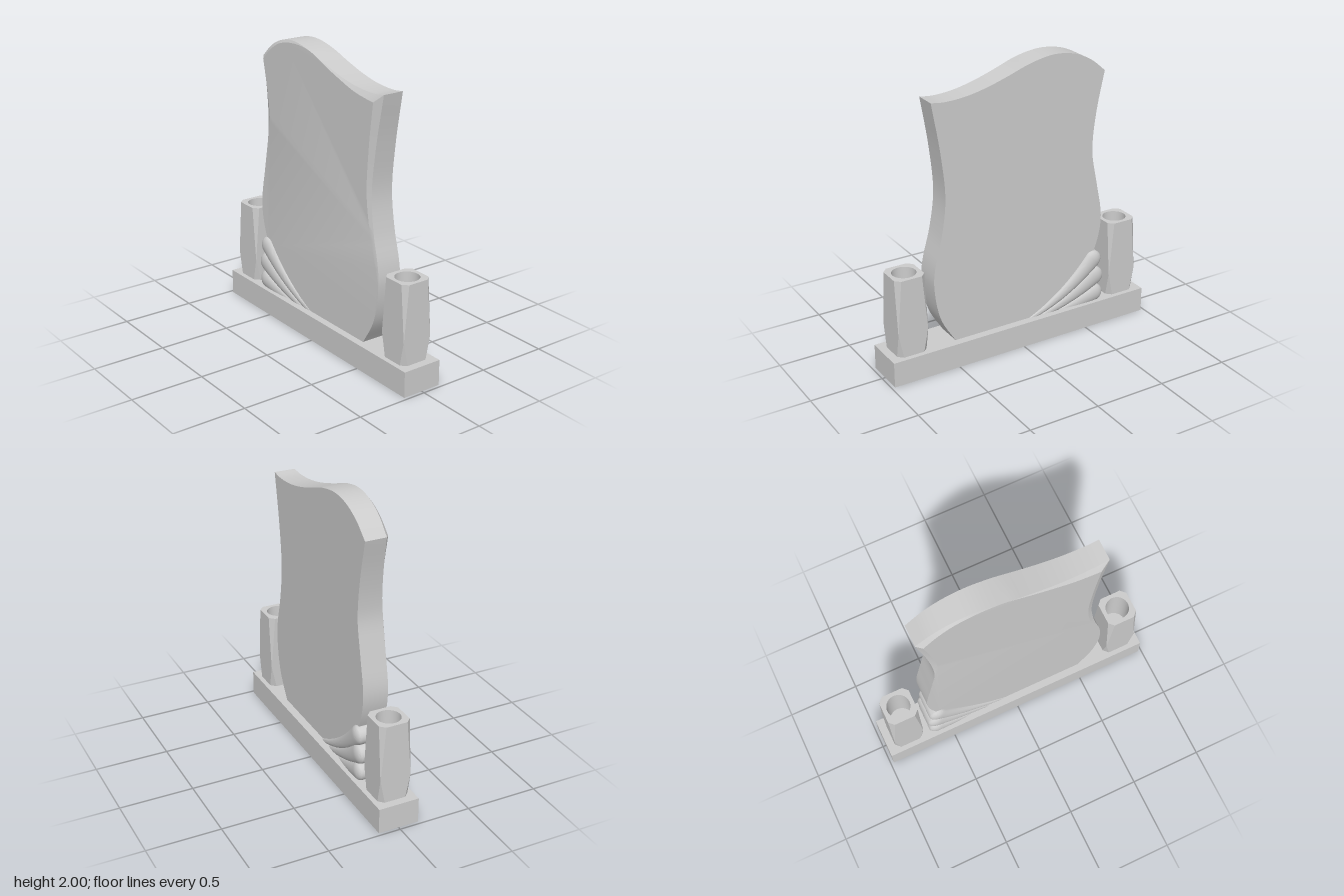
import * as THREE from 'three';
import { toCreasedNormals } from 'three/addons/utils/BufferGeometryUtils.js';

const material = new THREE.MeshStandardMaterial({ color: 0xcccccc });
const openMaterial = new THREE.MeshStandardMaterial({ color: 0xcccccc, side: THREE.DoubleSide });
const BASE_TOP = 0.175;

function addMesh(parent, name, geometry, mat = material) {
  const mesh = new THREE.Mesh(geometry, mat);
  mesh.name = name;
  parent.add(mesh);
  return mesh;
}

// Skins a list of equal-length closed rings; caps are for rings lying in an xy plane.
function loft(rings, crease, capped = false) {
  const n = rings[0].length;
  const index = [];
  for (let r = 0; r < rings.length - 1; r++) {
    for (let i = 0; i < n; i++) {
      const a = r * n + i, b = r * n + (i + 1) % n;
      index.push(a, b, b + n, a, b + n, a + n);
    }
  }
  if (capped) {
    const flat = ring => ring.map(p => new THREE.Vector2(p.x, p.y));
    const last = (rings.length - 1) * n;
    for (const [a, b, c] of THREE.ShapeUtils.triangulateShape(flat(rings[0]), [])) index.push(a, c, b);
    for (const [a, b, c] of THREE.ShapeUtils.triangulateShape(flat(rings[rings.length - 1]), []))
      index.push(last + a, last + b, last + c);
  }
  const geometry = new THREE.BufferGeometry().setFromPoints(rings.flat());
  geometry.setIndex(index);
  return toCreasedNormals(geometry, crease);
}

// Samples a spline at even parameters, leaving out its last point.
function sample(points, count) {
  const curve = new THREE.CatmullRomCurve3(points.map(([x, y, z = 0.09]) => new THREE.Vector3(x, y, z)));
  return Array.from({ length: count }, (_, i) => curve.getPoint(i / count));
}

// Wavy slab with a front bevel that widens towards the two upper corners.
function slabGeometry() {
  const leftLow = [[-0.56, 1.26], [-0.6, 1.05], [-0.643, 0.8], [-0.62, 0.63], [-0.52, 0.4], [-0.36, 0.16]];
  const left = [[-0.64, 1.83, 0.06], [-0.59, 1.6, 0.07], [-0.562, 1.4, 0.08], ...leftLow];
  const leftInner = [[-0.6, 1.82], [-0.555, 1.6], [-0.533, 1.4], ...leftLow];

  const rightLow = [[0.49, 0.16], [0.603, 0.36], [0.645, 0.6]];
  const right = [...rightLow, [0.635, 0.73, 0.086], [0.582, 0.944, 0.081], [0.55, 1.19, 0.075],
    [0.577, 1.5, 0.068], [0.635, 1.84, 0.06]];
  const rightInner = [...rightLow, [0.615, 0.73], [0.555, 0.944], [0.518, 1.19],
    [0.535, 1.5], [0.57, 1.785]];

  const top = [[0.635, 1.84, 0.06], [0.55, 1.83, 0.063], [0.4, 1.838, 0.07], [0.25, 1.868, 0.078], [0.1, 1.913, 0.084],
    [-0.08, 1.973], [-0.25, 2, 0.083], [-0.4, 1.98, 0.075], [-0.53, 1.92, 0.068], [-0.64, 1.83, 0.06]];
  const topInner = [[0.57, 1.785], [0.5, 1.792], [0.38, 1.812], [0.25, 1.852], [0.1, 1.905],
    [-0.08, 1.973], [-0.25, 1.986], [-0.4, 1.96], [-0.51, 1.9], [-0.6, 1.82]];

  const outline = (l, r, t) =>
    [...sample(l, 40), new THREE.Vector3(-0.36, 0.16, 0.09), ...sample(r, 40), ...sample(t, 45)];
  const edge = outline(left, right, top);
  const front = outline(leftInner, rightInner, topInner);
  front.forEach(p => { p.z = 0.09; });
  const back = edge.map(p => new THREE.Vector3(p.x, p.y, -0.085));
  return loft([back, edge, front], 0.35, true);
}

// Tapered rib bulging on both faces of the slab, ending in a round lobe.
function ribGeometry(points, radius) {
  const spine = new THREE.QuadraticBezierCurve(...points.map(p => new THREE.Vector2(...p)));
  const ring = (c, t, width, bulge) => {
    const out = [];
    for (const side of [1, -1]) {
      for (let i = 0; i <= 12; i++) {
        const a = Math.PI * i / 12;
        const across = side * Math.cos(a) * width;
        const z = side * (0.085 + bulge * Math.sin(a));
        out.push(new THREE.Vector3(c.x - t.y * across, c.y + t.x * across, z));
      }
    }
    return out;
  };
  const rings = [];
  for (let i = 0; i <= 24; i++) {
    const s = i / 24;
    rings.push(ring(spine.getPoint(s), spine.getTangent(s),
      THREE.MathUtils.lerp(0.012, radius, s), THREE.MathUtils.lerp(0.008, 0.036, s)));
  }
  const end = spine.getPoint(1), dir = spine.getTangent(1);
  for (let i = 1; i <= 10; i++) {
    const a = Math.PI / 2 * i / 10;
    const c = end.clone().addScaledVector(dir, radius * Math.sin(a));
    rings.push(ring(c, dir, radius * Math.cos(a), 0.036 * Math.cos(a)));
  }
  return loft(rings, 0.7);
}

// Square vase whose corners are cut by long facets, with a round bore.
function createVase() {
  const vase = new THREE.Group();
  const half = 0.107, height = 0.545, bore = 0.08, depth = 0.3;
  const octagon = (cut, z) => {
    const c = half - cut;
    return [[half, -c], [half, c], [c, half], [-c, half], [-half, c], [-half, -c], [-c, -half], [c, -half]]
      .map(([x, y]) => new THREE.Vector3(x, y, z));
  };
  const rings = [octagon(0.034, 0), octagon(0.001, 0.165), octagon(0.034, height)];
  addMesh(vase, 'vaseBody', loft(rings, 0.05).rotateX(-Math.PI / 2));

  const rim = new THREE.Shape(rings[2].map(p => new THREE.Vector2(p.x, p.y)));
  rim.holes.push(new THREE.Path().absarc(0, 0, bore, 0, Math.PI * 2, true));
  addMesh(vase, 'vaseRim', new THREE.ShapeGeometry(rim, 24).rotateX(-Math.PI / 2).translate(0, height, 0));
  addMesh(vase, 'vaseBore', new THREE.CylinderGeometry(bore, bore, depth, 48, 1, true)
    .translate(0, height - depth / 2, 0), openMaterial);
  addMesh(vase, 'vaseFloor', new THREE.CircleGeometry(bore, 48).rotateX(-Math.PI / 2)
    .translate(0, height - depth, 0));
  return vase;
}

export function createModel() {
  const model = new THREE.Group();
  model.name = 'monument';

  addMesh(model, 'plinth', new THREE.BoxGeometry(1.955, BASE_TOP, 0.28)).position.y = BASE_TOP / 2;
  addMesh(model, 'slab', slabGeometry());

  // Fan of three ribs at the lower right corner of the slab
  const fan = new THREE.Group();
  fan.name = 'ribFan';
  [
    [[[-0.08, 0.165], [-0.36, 0.26], [-0.582, 0.485]], 0.064],
    [[[-0.14, 0.15], [-0.4, 0.22], [-0.597, 0.354]], 0.068],
    [[[-0.24, 0.145], [-0.44, 0.17], [-0.598, 0.225]], 0.064],
  ].forEach(([points, radius], i) => addMesh(fan, `rib${i + 1}`, ribGeometry(points, radius)));
  model.add(fan);

  // Vases at both ends
  for (const [name, x] of [['leftVase', 0.815], ['rightVase', -0.817]]) {
    const vase = createVase();
    vase.name = name;
    vase.position.set(x, BASE_TOP, 0);
    model.add(vase);
  }
  return model;
}
